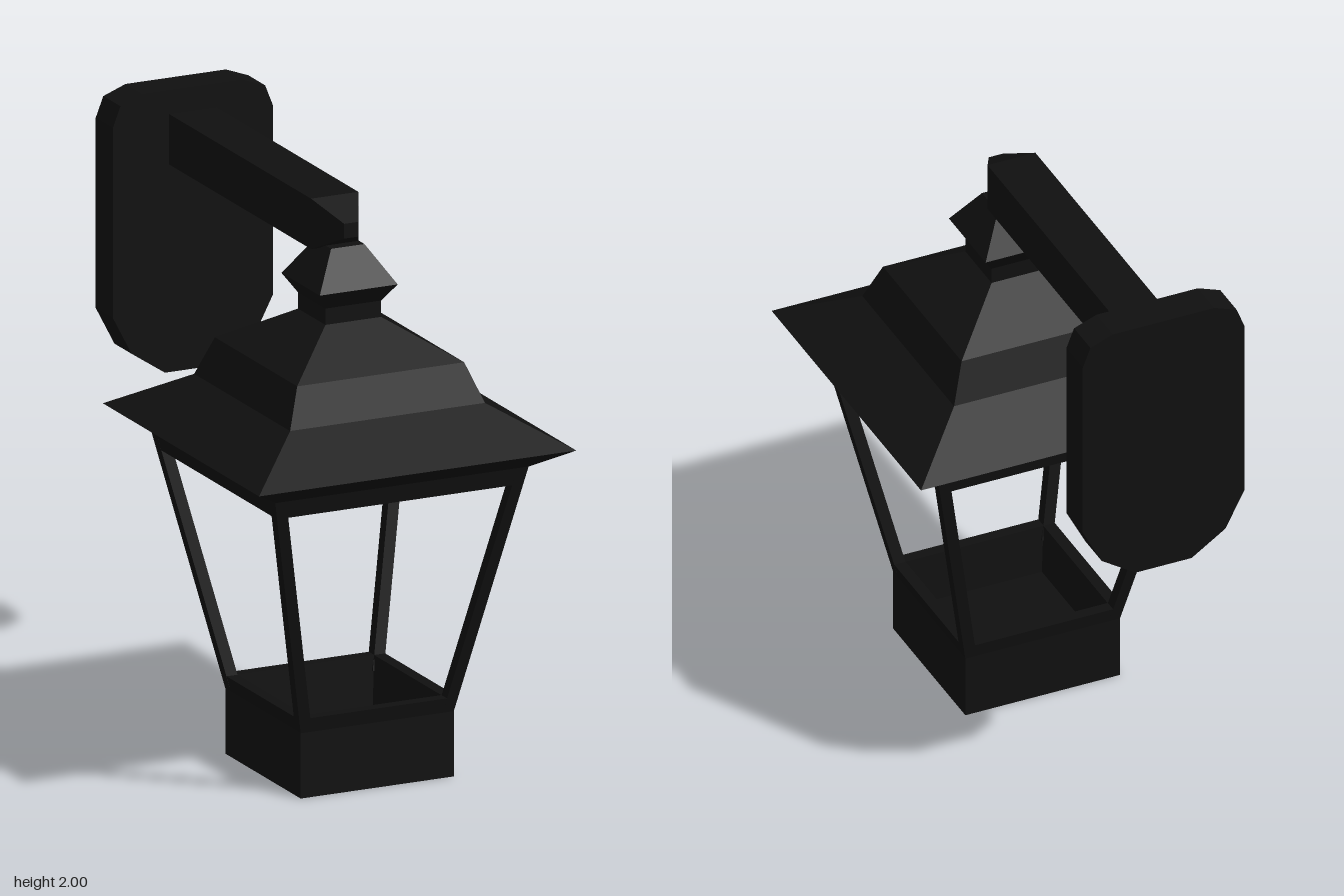
import * as THREE from 'three';

const LANTERN_Z = 0.3, ARM_X = -0.0125;

export function createModel() {
  const group = new THREE.Group();
  const metal = new THREE.MeshStandardMaterial({ color: 0x101010, flatShading: true, side: THREE.DoubleSide });

  const add = (name, geometry, x = 0, y = 0, z = 0) => {
    const mesh = new THREE.Mesh(geometry, metal);
    mesh.name = name;
    mesh.position.set(x, y, z);
    group.add(mesh);
    return mesh;
  };

  // Square-section solid from a profile of [half width, height]
  const squareTurned = (profile) => new THREE.LatheGeometry(
    profile.map(([h, y]) => new THREE.Vector2(h * Math.SQRT2, y)), 4, Math.PI / 4);

  // Hollow base tray with its tapered rim
  add('base', squareTurned([
    [0, 0], [0.275, 0], [0.275, 0.22], [0.285, 0.27], [0.245, 0.27], [0.235, 0.1], [0, 0.1],
  ]), 0, 0, LANTERN_Z);

  // Four leaning corner posts
  for (const sx of [-1, 1]) for (const sz of [-1, 1]) {
    const post = new THREE.BoxGeometry(0.04, 0.85, 0.04);
    const p = post.attributes.position;
    for (let i = 0; i < p.count; i++) {
      const centre = p.getY(i) > 0 ? 0.435 : 0.255;
      p.setX(i, p.getX(i) + sx * centre);
      p.setZ(i, p.getZ(i) + sz * centre);
    }
    add('cornerPost', post, 0, 0.645, LANTERN_Z);
  }

  // Hollow roof: inside from the ceiling down to the rim, then the stepped outside
  add('roof', squareTurned([
    [0, 1.49], [0.07, 1.49], [0.27, 1.37], [0.32, 1.25], [0.4, 1.2], [0.4, 1.01],
    [0.442, 1.01], [0.455, 1.07], [0.57, 1.14], [0.35, 1.27], [0.3, 1.4], [0.1, 1.525], [0, 1.525],
  ]), 0, 0, LANTERN_Z);

  // Finial joining the roof to the arm
  add('finial', squareTurned([
    [0, 1.52], [0.1, 1.52], [0.1, 1.58], [0.14, 1.64], [0.06, 1.765], [0, 1.765],
  ]), 0, 0, LANTERN_Z);

  // Arm with a tapered tip
  const arm = add('arm', squareTurned([
    [0, -0.75], [0.085, -0.75], [0.085, 0.29], [0.025, 0.41], [0, 0.41],
  ]), ARM_X, 1.835, 0);
  arm.rotation.x = Math.PI / 2;

  // Wall plate with clipped corners, rounder at the bottom
  const half = [[0.1, 1.05], [0.22, 1.13], [0.2875, 1.26], [0.2875, 1.9], [0.26, 1.97], [0.18, 2]];
  const outline = [...half, ...half.map(([x, y]) => [-x, y]).reverse()];
  const plate = new THREE.Shape(outline.map(([x, y]) => new THREE.Vector2(x, y)));
  add('wallPlate', new THREE.ExtrudeGeometry(plate, { depth: 0.125, bevelEnabled: false }), ARM_X, 0, -0.87);

  return group;
}
